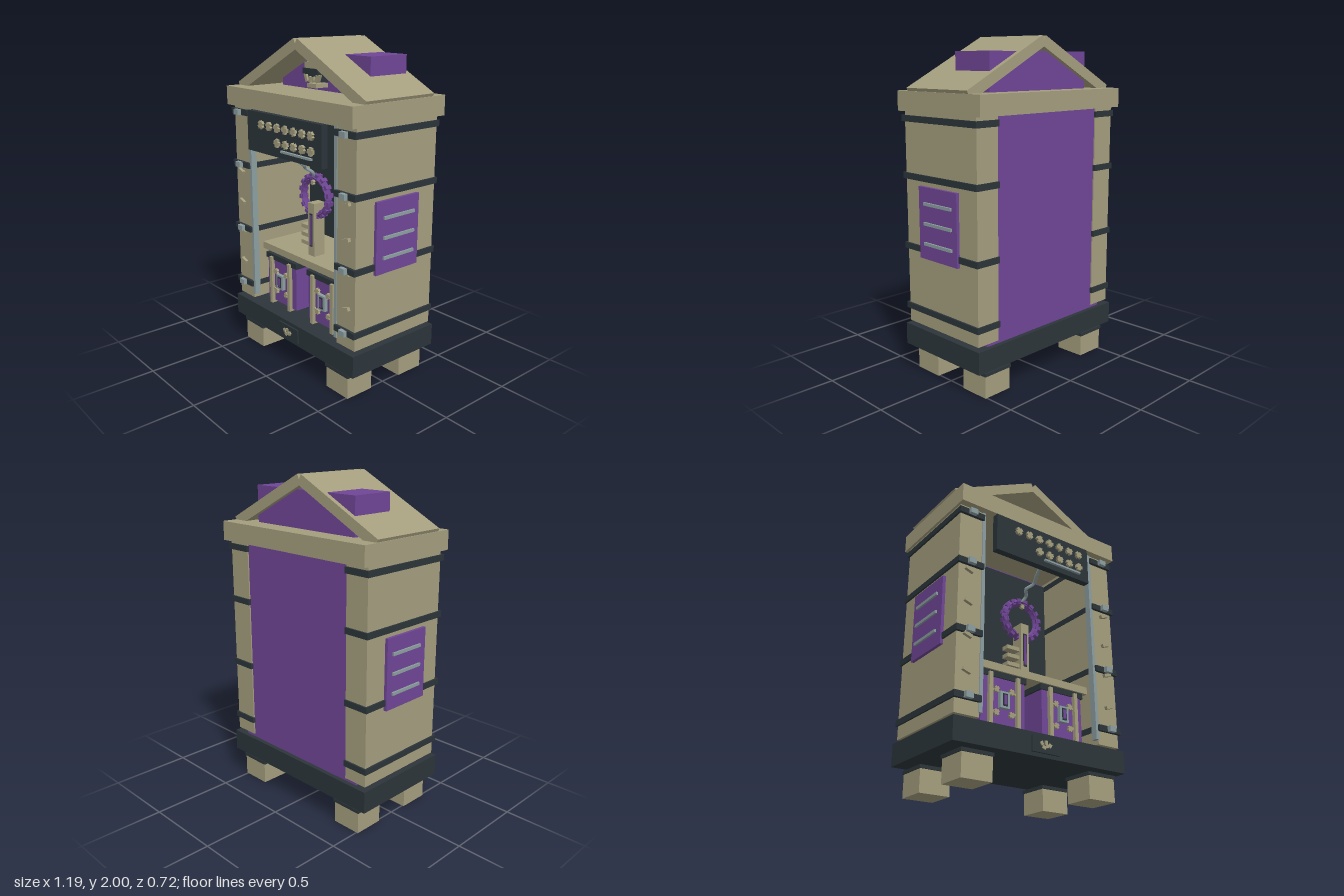
import * as THREE from 'three';

const mat = (name, color) => Object.assign(new THREE.MeshStandardMaterial({ color }), { name });

export function createModel() {
  const tan = mat('sandstone', 0xa49e7e);
  const purple = mat('purple', 0x704696);
  const dark = mat('dark iron', 0x2c353a);
  const steel = mat('pale steel', 0x8c9ea0);
  const root = new THREE.Group();

  const group = (name, parent = root) => {
    const g = new THREE.Group();
    g.name = name;
    parent.add(g);
    return g;
  };
  const add = (name, geo, m, parent = root) => {
    const mesh = new THREE.Mesh(geo, m);
    mesh.name = name;
    parent.add(mesh);
    return mesh;
  };
  // box from its min and max on each axis
  const box = (name, m, x0, x1, y0, y1, z0, z1, parent = root) => {
    const b = add(name, new THREE.BoxGeometry(x1 - x0, y1 - y0, z1 - z0), m, parent);
    b.position.set((x0 + x1) / 2, (y0 + y1) / 2, (z0 + z1) / 2);
    return b;
  };
  // box turned about z
  const tilted = (name, m, x, y, z, w, h, d, angle, parent = root) => {
    const b = add(name, new THREE.BoxGeometry(w, h, d), m, parent);
    b.position.set(x, y, z);
    b.rotation.z = angle;
    return b;
  };
  // small crossed rivet
  const rivet = (x, y, z, s, parent, turn = 0) => {
    for (const a of [0.6, -0.9]) tilted('rivet', tan, x, y, z, s * 0.45, s, 0.016, a + turn, parent);
  };

  // feet with caps
  const feet = group('feet');
  for (const s of [-1, 1]) for (const z of [0.1975, -0.2175]) {
    const x = s * 0.417;
    box('foot', tan, x - 0.094, x + 0.094, 0, 0.132, z - 0.093, z + 0.093, feet);
    box('footCap', dark, x - 0.1, x + 0.1, 0.132, 0.152, z - 0.099, z + 0.099, feet);
  }

  // base with plaque
  box('base', dark, -0.58, 0.58, 0.17, 0.302, -0.335, 0.315);
  const plaque = group('plaque');
  box('plaquePlate', dark, -0.095, 0.09, 0.192, 0.28, 0.315, 0.326, plaque);
  [[-0.03, 0.243, 0.5], [0.0, 0.25, 0], [0.025, 0.236, -0.5], [-0.015, 0.222, 1.2], [0.005, 0.232, 0.2]].forEach(
    ([x, y, a]) => tilted('plaqueOrnament', tan, x - 0.005, y, 0.329, 0.018, 0.022, 0.008, a, plaque));

  // back wall and inner lining
  box('backPanel', purple, -0.49, 0.49, 0.302, 1.6, -0.307, -0.2);
  box('backLining', dark, -0.41, 0.41, 0.39, 1.56, -0.2, -0.18);

  // side walls with bands, clips, slashes and vent panels
  for (const s of [-1, 1]) {
    const side = group(s > 0 ? 'leftSide' : 'rightSide');
    const sbox = (name, m, x0, x1, ...rest) =>
      box(name, m, Math.min(s * x0, s * x1), Math.max(s * x0, s * x1), ...rest, side);
    sbox('sideWall', tan, 0.412, 0.565, 0.322, 1.58, -0.315, 0.29);
    sbox('steelTrim', steel, 0.393, 0.415, 0.35, 1.58, 0.255, 0.295);
    for (const y of [1.54, 1.21, 0.792, 0.42]) {
      sbox('band', dark, 0.408, 0.576, y - 0.018, y + 0.018, -0.325, 0.308);
      sbox('clip', steel, 0.472, 0.518, y - 0.017, y + 0.017, 0.308, 0.332);
    }
    for (const y of [1.162, 0.963, 0.765, 0.56])
      tilted('slash', tan, s * 0.5, y, 0.299, 0.052, 0.02, 0.022, s * 0.33, side);
    sbox('ventPanel', purple, 0.565, 0.584, 0.745, 1.165, -0.17, 0.155);
    for (const y of [1.07, 0.955, 0.838])
      sbox('ventSlat', steel, 0.584, 0.595, y - 0.009, y + 0.009, -0.13, 0.105);
  }

  // cornice and roof
  box('cornice', tan, -0.58, 0.58, 1.58, 1.695, -0.36, 0.335);
  box('attic', purple, -0.395, 0.395, 1.69, 1.913, -0.235, 0.04);
  const slope = Math.atan2(0.288, 0.567), slabLen = 0.636, slabT = 0.062;
  for (const s of [-1, 1]) {
    const off = slabT / 2;
    tilted('roofSlab', tan, s * (0.299 - off * Math.sin(slope)), 1.856 - off * Math.cos(slope), -0.01,
      slabLen, slabT, 0.51, -s * slope);
  }
  box('ridgeRod', steel, -0.011, 0.011, 1.95, 1.975, -0.264, 0.244);

  // gable mask
  const mask = group('gableMask');
  box('maskBrow', tan, -0.062, 0.062, 1.828, 1.863, 0.04, 0.13, mask);
  box('maskBand', dark, -0.068, 0.068, 1.795, 1.828, 0.04, 0.14, mask);
  box('maskFace', dark, -0.045, 0.045, 1.75, 1.795, 0.04, 0.12, mask);
  box('maskChin', tan, -0.04, 0.04, 1.718, 1.742, 0.04, 0.13, mask);
  for (const s of [-1, 1]) {
    tilted('maskCheek', tan, s * 0.048, 1.775, 0.12, 0.02, 0.05, 0.03, -s * 0.4, mask);
    tilted('maskTooth', tan, s * 0.014, 1.765, 0.122, 0.018, 0.032, 0.02, s * 0.2, mask);
  }

  // hanging sign with rows of rivets
  const sign = group('sign');
  box('signBoard', dark, -0.347, 0.347, 1.332, 1.573, 0.302, 0.344, sign);
  for (let i = 0; i < 7; i++) {
    const x = -0.195 + i * 0.0768;
    rivet(x, 1.503, 0.352, 0.048, sign, i * 0.3);
    if (i > 1) rivet(x, 1.417, 0.352, 0.048, sign, i * 0.4);
  }
  box('signRule', steel, -0.005, 0.272, 1.368, 1.38, 0.344, 0.36, sign);

  // chain holding the ring
  const chainPath = new THREE.CatmullRomCurve3([
    [0, 1.345, 0.3], [0.008, 1.31, 0.25], [0.018, 1.28, 0.21], [-0.012, 1.25, 0.17], [0.014, 1.225, 0.14], [0, 1.19, 0.11],
  ].map(p => new THREE.Vector3(...p)));
  add('chain', new THREE.TubeGeometry(chainPath, 16, 0.011, 5), steel);

  // large key: notched ring, shank and teeth
  const key = group('key');
  const ringMat = purple;
  const ringGeo = new THREE.TorusGeometry(0.117, 0.025, 4, 20).toNonIndexed();
  ringGeo.computeVertexNormals();
  add('keyRing', ringGeo, ringMat, key).position.set(0, 1.07, 0.1);
  for (let i = 0; i < 16; i++) {
    const a = (i + 0.5) / 16 * Math.PI * 2;
    tilted('ringNotch', purple, 0.121 * Math.cos(a), 1.07 + 0.121 * Math.sin(a), 0.1, 0.036, 0.026, 0.042, a, key);
  }
  rivet(-0.004, 1.155, 0.12, 0.03, key);
  box('keyShank', tan, -0.029, 0.029, 0.695, 1.03, 0.06, 0.14, key);
  box('keySlotFrame', dark, -0.013, 0.013, 0.755, 0.965, 0.14, 0.143, key);
  box('keySlot', purple, -0.008, 0.008, 0.765, 0.955, 0.143, 0.147, key);
  for (const y of [0.862, 0.81, 0.758])
    box('keyTooth', tan, -0.115, -0.029, y - 0.012, y + 0.012, 0.075, 0.125, key);

  // shelf
  box('shelf', tan, -0.412, 0.412, 0.65, 0.694, -0.2, 0.21);

  // strapped chests
  for (const s of [-1, 1]) {
    const cx = s * 0.207;
    const chest = group(s > 0 ? 'leftChest' : 'rightChest');
    box('chestBody', purple, cx - 0.146, cx + 0.146, 0.325, 0.605, -0.15, 0.212, chest);
    box('chestLid', dark, cx - 0.157, cx + 0.157, 0.605, 0.64, -0.158, 0.22, chest);
    for (const t of [-1, 1]) {
      const x = cx + t * 0.092;
      box('chestStrap', tan, x - 0.012, x + 0.012, 0.31, 0.625, -0.165, 0.235, chest);
      for (const v of [-1, 1]) {
        rivet(cx + t * 0.05, 0.468 + v * 0.066, 0.22, 0.036, chest);
        tilted('chestBrace', tan, cx + t * 0.068, 0.468 + v * 0.062, 0.216, 0.045, 0.012, 0.012, -t * v * 0.4, chest);
      }
    }
    box('lockPlate', steel, cx - 0.032, cx + 0.032, 0.43, 0.525, 0.212, 0.235, chest);
    box('lockFrame', dark, cx - 0.016, cx + 0.016, 0.442, 0.513, 0.235, 0.238, chest);
    box('lockSlot', purple, cx - 0.01, cx + 0.01, 0.45, 0.505, 0.238, 0.241, chest);
  }

  return root;
}
